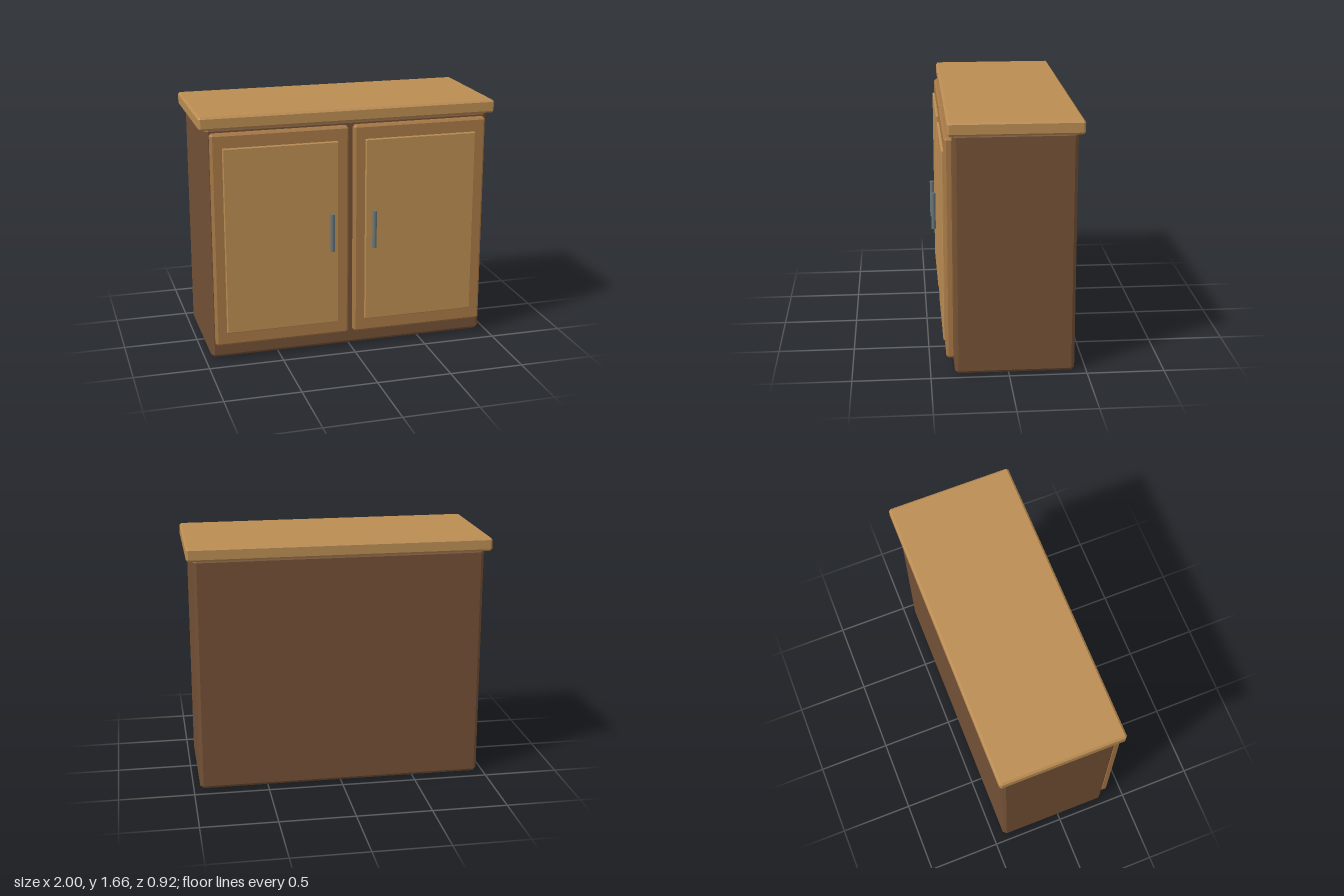
import * as THREE from 'three';
import { ConvexGeometry } from 'three/addons/geometries/ConvexGeometry.js';

const wood = (color) => new THREE.MeshStandardMaterial({ color });

// Box with flat chamfered edges, given its min and max corners
function chamferBox(name, min, max, bevel, material) {
  const half = min.map((v, i) => (max[i] - v) / 2);
  const points = [];
  for (const sx of [-1, 1]) for (const sy of [-1, 1]) for (const sz of [-1, 1]) {
    for (let axis = 0; axis < 3; axis++) {
      const p = half.map((h, i) => (i === axis ? h : h - bevel));
      points.push(new THREE.Vector3(p[0] * sx, p[1] * sy, p[2] * sz));
    }
  }
  const mesh = new THREE.Mesh(new ConvexGeometry(points), material);
  mesh.name = name;
  mesh.position.set(...min.map((v, i) => (v + max[i]) / 2));
  return mesh;
}

export function createModel() {
  const cabinet = new THREE.Group();
  cabinet.name = 'cabinet';

  const lightWood = wood(0xba8c52);
  const doorWood = wood(0xa67845);
  const darkWood = wood(0x735035);
  const metal = wood(0x66757a);

  // Carcass and overhanging worktop
  cabinet.add(chamferBox('body', [-0.957, 0, -0.425], [0.957, 1.58, 0.345], 0.022, darkWood));
  cabinet.add(chamferBox('worktop', [-1, 1.573, -0.46], [1, 1.66, 0.38], 0.013, lightWood));

  // Two mirrored doors, each with a raised panel and an upright bar handle
  for (const side of [-1, 1]) {
    const door = new THREE.Group();
    door.name = side > 0 ? 'leftDoor' : 'rightDoor';
    const span = (a, b) => (side > 0 ? [a, b] : [-b, -a]);

    const [f0, f1] = span(0.018, 0.932);
    door.add(chamferBox('doorFrame', [f0, 0.105, 0.34], [f1, 1.55, 0.398], 0.014, doorWood));

    const [p0, p1] = span(0.092, 0.858);
    door.add(chamferBox('doorPanel', [p0, 0.195, 0.385], [p1, 1.457, 0.413], 0.006, lightWood));

    const handle = new THREE.Mesh(new THREE.CylinderGeometry(0.015, 0.015, 0.255, 12), metal);
    handle.name = 'handle';
    handle.position.set(side * 0.145, 0.847, 0.446);
    door.add(handle);
    cabinet.add(door);
  }
  return cabinet;
}
